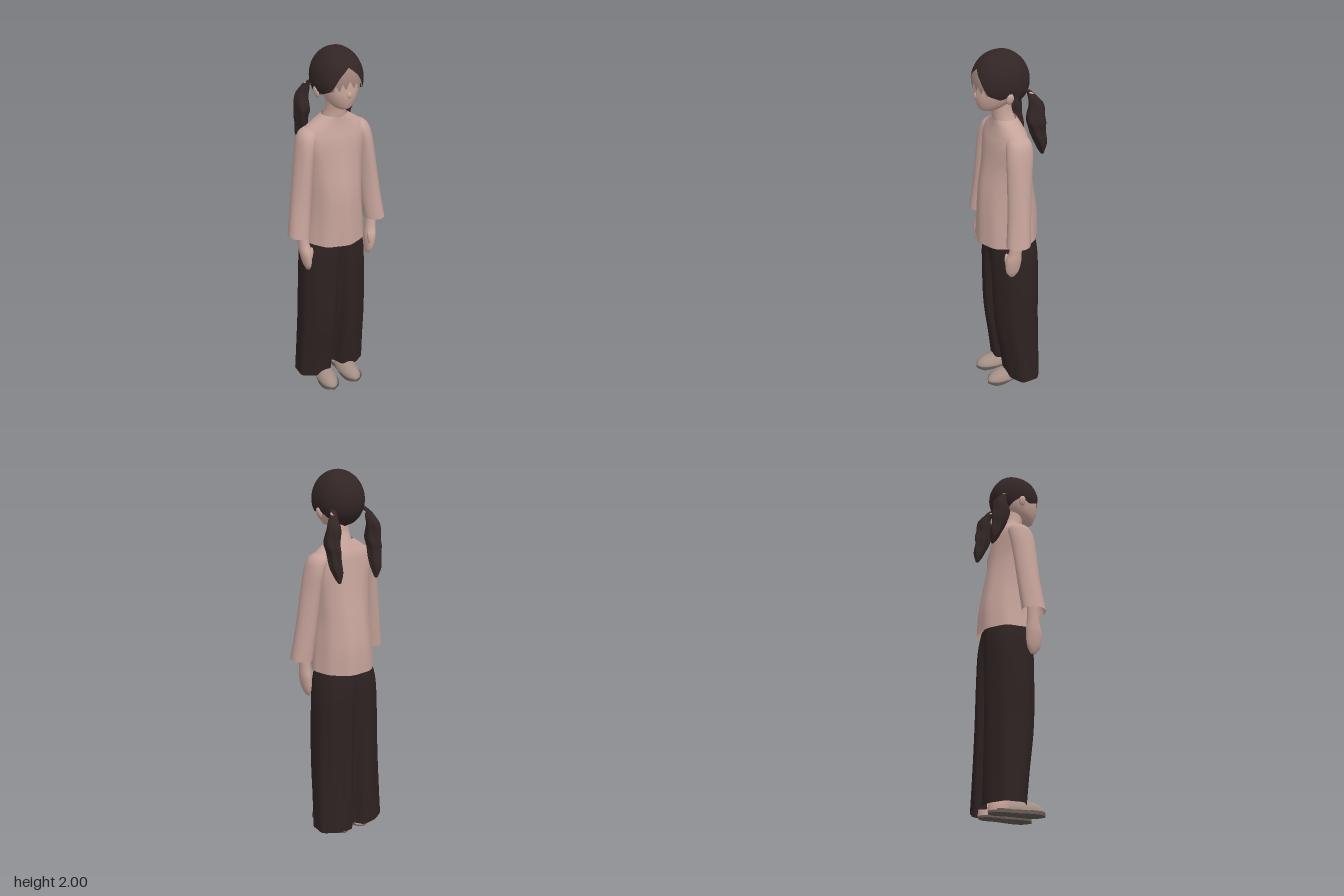
import * as THREE from 'three';

const mat = (name, color) => {
  const m = new THREE.MeshStandardMaterial({ color, side: THREE.DoubleSide });
  m.name = name;
  return m;
};

// Catmull-Rom interpolation through rows of numbers, u in 0..1
function sample(rows, u) {
  const f = u * (rows.length - 1), i = Math.min(Math.floor(f), rows.length - 2), t = f - i;
  const at = (k) => rows[Math.max(0, Math.min(rows.length - 1, k))];
  const [a, b, c, d] = [at(i - 1), at(i), at(i + 1), at(i + 2)];
  return b.map((p, k) => p + 0.5 * t * (c[k] - a[k] + t * (2 * a[k] - 5 * p + 4 * c[k] - d[k] + t * (3 * (p - c[k]) + d[k] - a[k]))));
}

// Surface closed around its axis; point(t, v): t = angle from the front, v = 0 (bottom) to 1 (top)
function wrap(point, nt, nv, capBottom, capTop) {
  const pos = [], idx = [];
  for (let i = 0; i <= nv; i++)
    for (let j = 0; j < nt; j++) pos.push(...point((j / nt) * Math.PI * 2, i / nv));
  for (let i = 0; i < nv; i++)
    for (let j = 0; j < nt; j++) {
      const a = i * nt + j, b = i * nt + ((j + 1) % nt);
      idx.push(a, b, a + nt, b, b + nt, a + nt);
    }
  const cap = (row, top) => {
    const c = pos.length / 3, sum = [0, 0, 0];
    for (let j = 0; j < nt; j++) for (let k = 0; k < 3; k++) sum[k] += pos[(row * nt + j) * 3 + k] / nt;
    pos.push(...sum);
    for (let j = 0; j < nt; j++) {
      const a = row * nt + j, b = row * nt + ((j + 1) % nt);
      idx.push(c, ...(top ? [a, b] : [b, a]));
    }
  };
  if (capBottom) cap(0, false);
  if (capTop) cap(nv, true);
  const g = new THREE.BufferGeometry();
  g.setAttribute('position', new THREE.Float32BufferAttribute(pos, 3));
  g.setIndex(idx);
  g.computeVertexNormals();
  return g;
}

// Loft through rings [y, centreX, centreZ, radiusX, radiusZ], listed upwards
function loft(rings, { fold = () => 0, bottom = true, top = true, nt = 48, nv = 40, side = 1 } = {}) {
  return wrap((t, v) => {
    const [y, cx, cz, rx, rz] = sample(rings, v), k = 1 + fold(t, v);
    return [side * cx + rx * k * Math.sin(t), y, cz + rz * k * Math.cos(t)];
  }, nt, nv, bottom, top);
}

const power = (x, p) => Math.sign(x) * Math.abs(x) ** p;

// Wide trousers: one stadium-shaped body with a groove between the legs that deepens downwards
const TROUSER_RINGS = [
  [0.033, -0.064, 0.209, 0.112], [0.2, -0.052, 0.203, 0.12], [0.45, -0.034, 0.195, 0.135],
  [0.72, -0.029, 0.187, 0.139], [0.88, -0.027, 0.177, 0.137], [0.985, -0.022, 0.152, 0.127]];
function trouserPoint(t, v) {
  const [y, cz, rx, rz] = sample(TROUSER_RINGS, v);
  const k = 1 + 0.014 * (1 - v) * Math.cos(t * 10 + v * 3);
  const x = rx * k * Math.sin(t), front = Math.cos(t) > 0;
  const depth = THREE.MathUtils.clamp(0.08 + 0.62 * (1 - v * 1.15), 0, 0.62) * (front ? 1 : 0.8);
  const z = rz * k * power(Math.cos(t), 0.75) * (1 - depth * Math.exp(-((x / 0.03) ** 2)));
  const arch = front ? 0.035 * (1 - v) ** 10 * Math.exp(-((x / 0.09) ** 2)) : 0;
  return [x, y + arch, cz + z];
}

// Hair shell: rounded ellipsoid with a hairline height that depends on the angle from the front
const HAIRLINE = [[0, 1.925], [0.35, 1.885], [0.72, 1.815], [1.2, 1.79], [1.6, 1.805], [2.2, 1.75], [Math.PI, 1.722]];
function hairline(t) {
  const a = Math.abs(t > Math.PI ? t - 2 * Math.PI : t);
  const i = Math.max(1, HAIRLINE.findIndex((h) => a <= h[0] + 1e-9));
  const [p, q] = [HAIRLINE[i - 1], HAIRLINE[i]];
  return THREE.MathUtils.lerp(p[1], q[1], (a - p[0]) / (q[0] - p[0]));
}
const phiAt = (y) => Math.acos((y - 1.85) / (y > 1.85 ? 0.15 : 0.14));
function hairPoint(t, phi, k = 1) {
  const c = Math.cos(phi), s = Math.sin(phi) * k;
  return [0.124 * s * power(Math.sin(t), 0.87), 1.85 + (c > 0 ? 0.15 : 0.14) * c, 0.025 + 0.142 * s * power(Math.cos(t), 0.87)];
}

export function createModel() {
  const model = new THREE.Group();
  model.name = 'girl';
  const skin = mat('skin', 0xcba79c), shirt = mat('blouse cloth', 0xc5a39a);
  const hair = mat('hair', 0x322625), wisps = mat('fringe wisps', 0xa0857c);
  const cloth = mat('trouser cloth', 0x2e2222), shoe = mat('slipper', 0xa38f84), soleMat = mat('sole', 0x665b55);

  const add = (name, geometry, material, parent = model) => {
    const mesh = new THREE.Mesh(geometry, material);
    mesh.name = name;
    parent.add(mesh);
    return mesh;
  };
  const ball = (name, material, p, s) => {
    const m = add(name, new THREE.SphereGeometry(1, 24, 16), material);
    m.position.set(...p);
    m.scale.set(...s);
    return m;
  };

  // Head and neck
  add('head', loft([
    [1.708, 0, 0.09, 0.018, 0.022], [1.718, 0, 0.083, 0.042, 0.055], [1.745, 0, 0.066, 0.068, 0.085],
    [1.785, 0, 0.052, 0.088, 0.108], [1.83, 0, 0.045, 0.1, 0.115], [1.88, 0, 0.043, 0.102, 0.114],
    [1.93, 0, 0.038, 0.09, 0.1], [1.97, 0, 0.03, 0.045, 0.06]]), skin);
  add('neck', loft([[1.58, 0, -0.01, 0.085, 0.06], [1.65, 0, 0.008, 0.06, 0.056], [1.7, 0, 0.02, 0.052, 0.052], [1.77, 0, 0.03, 0.054, 0.06]]), skin);
  const nose = ball('nose', skin, [0, 1.797, 0.152], [0.013, 0.022, 0.014]);
  nose.rotation.x = -0.25;
  ball('lips', skin, [0, 1.752, 0.146], [0.02, 0.008, 0.007]);

  // Hair cap and thin ragged fringe over the forehead
  add('hairCap', wrap((t, v) => hairPoint(t, Math.max(0.001, (1 - v) * phiAt(hairline(t))),
    1 + 0.01 * (1 - v) * Math.sin(t * 9) * Math.sin(t * 2 + 1)), 96, 28, false, false), hair);
  const fringe = new THREE.PlaneGeometry(1, 1, 64, 10);
  const fp = fringe.attributes.position;
  for (let i = 0; i < fp.count; i++) {
    const t = fp.getX(i) * 1.5, low = 1.845 - 0.035 * Math.abs(t) + 0.014 * Math.cos(t * 24);
    const y = THREE.MathUtils.lerp(Math.min(low, hairline(t)), hairline(t) + 0.004, fp.getY(i) + 0.5);
    fp.setXYZ(i, ...hairPoint(t, phiAt(y), 0.99));
  }
  fringe.computeVertexNormals();
  add('fringe', fringe, wisps);

  // Blouse body with soft vertical folds towards the hem
  add('blouse', loft([
    [0.962, -0.003, -0.008, 0.171, 0.167], [1.1, 0, -0.008, 0.157, 0.162], [1.25, 0, -0.002, 0.147, 0.146],
    [1.4, 0, -0.002, 0.154, 0.118], [1.52, 0, -0.003, 0.178, 0.098], [1.58, 0, -0.006, 0.168, 0.084],
    [1.62, 0, -0.003, 0.12, 0.071], [1.655, 0, 0.003, 0.066, 0.06]],
  { bottom: false, top: false, nt: 96, nv: 56, fold: (t, v) => 0.016 * (1 - v) ** 2 * (Math.sin(t * 9 + 1 + 2 * v) + 0.5 * Math.sin(t * 5 + 4 * v)) }), shirt);

  // Trousers
  add('trousers', wrap(trouserPoint, 160, 48, false, true), cloth);

  for (const side of [1, -1]) {
    const s = side > 0 ? 'left' : 'right';

    // Ear
    const ear = ball(s + 'Ear', skin, [side * 0.113, 1.79, 0.03], [0.011, 0.03, 0.02]);
    ear.rotation.z = -side * 0.25;

    // Wavy ponytail with its tie
    add(s + 'Ponytail', loft([
      [1.465, side * 0.114, -0.153, 0.008, 0.008], [1.52, side * 0.12, -0.14, 0.028, 0.027],
      [1.6, side * 0.124, -0.122, 0.033, 0.042], [1.66, side * 0.126, -0.108, 0.037, 0.05],
      [1.74, side * 0.119, -0.108, 0.032, 0.038], [1.795, side * 0.105, -0.087, 0.018, 0.018], [1.82, side * 0.09, -0.06, 0.012, 0.012]],
    { fold: (t, v) => 0.11 * (1 - v) * Math.sin(t * 5 + v * 9) + 0.05 * Math.sin(v * 26 + t) }), hair);
    const tie = add(s + 'HairTie', new THREE.TorusGeometry(0.014, 0.005, 10, 24), skin);
    tie.position.set(side * 0.103, 1.797, -0.085);
    tie.rotation.set(1.1, side * 0.3, 0);

    // Wide sleeve running into the shoulder
    add(s + 'Sleeve', loft([
      [1.032, 0.228, 0.038, 0.058, 0.066], [1.2, 0.205, 0.023, 0.055, 0.063], [1.4, 0.18, 0.01, 0.05, 0.066],
      [1.5, 0.164, 0.002, 0.05, 0.07], [1.56, 0.143, -0.004, 0.055, 0.064], [1.59, 0.125, -0.006, 0.045, 0.045], [1.602, 0.11, -0.006, 0.02, 0.02]],
    { side, bottom: false, fold: (t, v) => 0.025 * (1 - v) * Math.sin(t * 4 + v * 6) }), shirt);

    // Hand and thumb
    add(s + 'Hand', loft([
      [0.812, 0.184, 0.05, 0.009, 0.015], [0.85, 0.19, 0.052, 0.021, 0.037], [0.92, 0.197, 0.05, 0.031, 0.044],
      [0.98, 0.204, 0.043, 0.029, 0.034], [1.09, 0.213, 0.035, 0.027, 0.029]], { side, nt: 28, nv: 28 }), skin);
    const thumb = ball(s + 'Thumb', skin, [side * 0.18, 0.915, 0.08], [0.012, 0.043, 0.013]);
    thumb.rotation.z = side * 0.15;

    // Ankle and slipper
    const foot = new THREE.Group();
    foot.name = s + 'Foot';
    foot.position.x = side * 0.07;
    foot.rotation.y = side * 0.06;
    model.add(foot);
    add('ankle', loft([[0.01, 0, -0.085, 0.046, 0.056], [0.05, 0, -0.08, 0.046, 0.056], [0.1, 0, -0.06, 0.036, 0.045], [0.25, 0, -0.05, 0.04, 0.045]]), skin, foot);
    const outline = new THREE.Shape(new THREE.SplineCurve([
      [0, -0.155], [0.045, -0.125], [0.056, -0.07], [0.045, 0.02], [0.046, 0.1], [0, 0.14],
      [-0.046, 0.1], [-0.045, 0.02], [-0.056, -0.07], [-0.045, -0.125], [0, -0.155]].map((p) => new THREE.Vector2(...p))).getPoints(48));
    const sole = add('sole', new THREE.ExtrudeGeometry(outline, { depth: 0.018, bevelEnabled: false }), soleMat, foot);
    sole.rotation.x = -Math.PI / 2;
    const upper = add('slipperUpper', new THREE.SphereGeometry(1, 32, 12, 0, Math.PI * 2, 0, Math.PI / 2), shoe, foot);
    upper.position.set(0, 0.016, 0.035);
    upper.scale.set(0.056, 0.056, 0.118);
  }
  return model;
}
